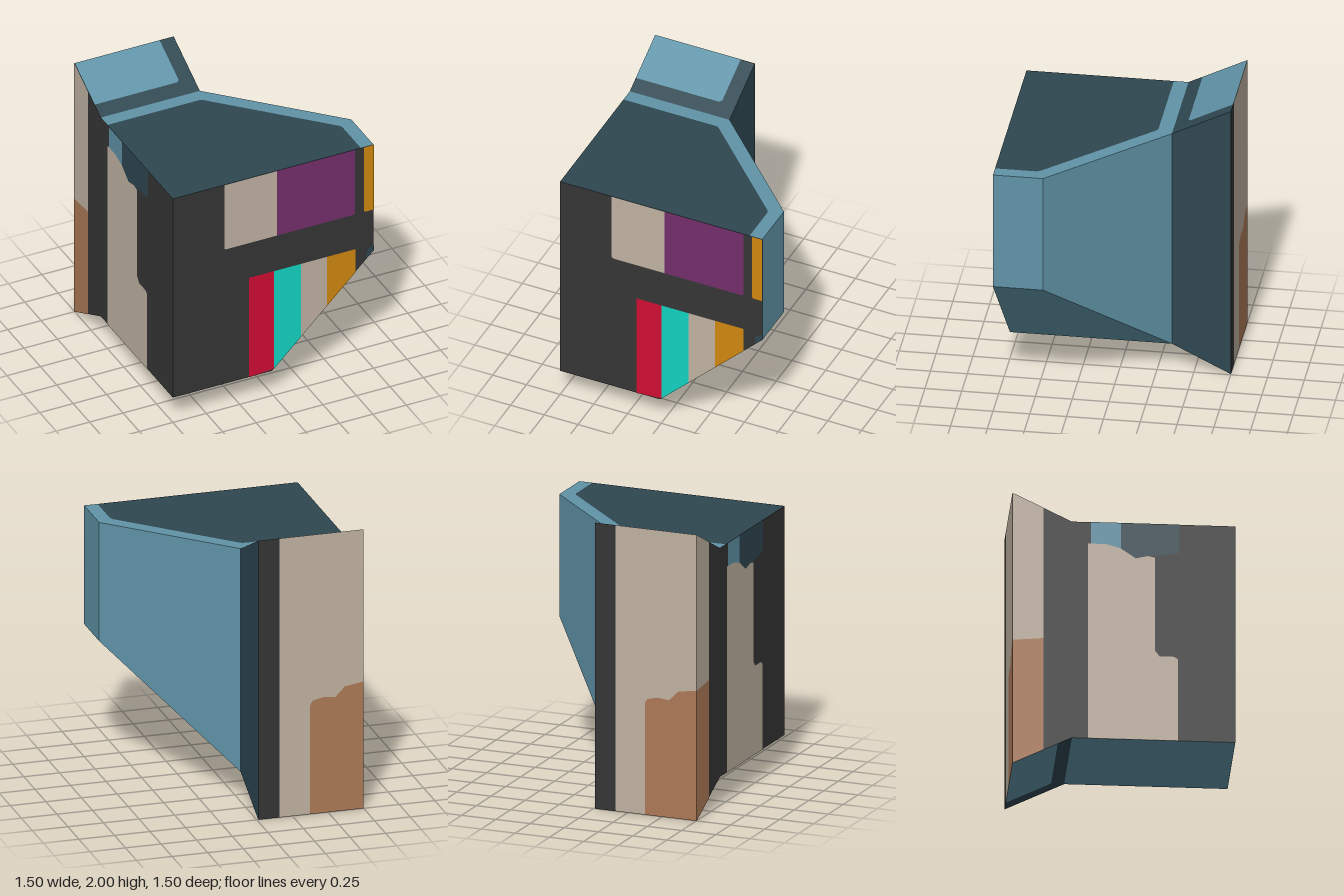
import * as THREE from 'three';

const flat = (name, color) => {
  const m = new THREE.MeshStandardMaterial({ color });
  m.name = name;
  return m;
};

export function createModel() {
  const model = new THREE.Group();
  model.name = 'wallBlock';

  const light = flat('lightTeal', 0x6093a7);
  const dark = flat('darkTeal', 0x2e4751);
  const charcoal = flat('charcoal', 0x353535);
  const beige = flat('beige', 0xbfb2a1);
  const purple = flat('purple', 0x752f6b);
  const orange = flat('orange', 0xd1870f);
  const red = flat('red', 0xd00d33);
  const cyan = flat('cyan', 0x12d4c1);
  const brown = flat('brown', 0xad7a57);

  const inside = new THREE.Vector3(-0.3, 1, 0);

  // Flat polygon facing outwards; lift raises painted details off the surface
  function panel(name, material, points, lift = 0) {
    let pts = points.map((p) => new THREE.Vector3(...p));
    const normal = new THREE.Vector3();
    const centre = new THREE.Vector3();
    pts.forEach((p, i) => {
      normal.add(p.clone().cross(pts[(i + 1) % pts.length]));
      centre.addScaledVector(p, 1 / pts.length);
    });
    normal.normalize();
    if (normal.dot(centre.sub(inside)) < 0) {
      normal.negate();
      pts = pts.reverse();
    }
    const u = pts[1].clone().sub(pts[0]).normalize();
    const v = normal.clone().cross(u);
    const contour = pts.map((p) => new THREE.Vector2(p.dot(u), p.dot(v)));
    const triangles = THREE.ShapeUtils.triangulateShape(contour, []);
    pts.forEach((p) => p.addScaledVector(normal, lift));
    const geometry = new THREE.BufferGeometry().setFromPoints(pts);
    geometry.setIndex(triangles.flat());
    geometry.computeVertexNormals();
    const mesh = new THREE.Mesh(geometry, material);
    mesh.name = name;
    model.add(mesh);
  }

  // Drawing planes for the vertical sides and the level ones
  const onFront = (pts) => pts.map(([x, y]) => [x, y, 0.75]);
  const onBack = (pts) => pts.map(([x, y]) => [x, y, -0.75]);
  const onRear = (pts) => pts.map(([z, y]) => [-0.75, y, z]);
  const level = (y, pts) => pts.map(([x, z]) => [x, y, z]);
  const rect = (a0, a1, b0, b1) => [[a0, b0], [a1, b0], [a1, b1], [a0, b1]];
  const PAINT = 0.003;

  // Main block
  panel('frontFace', charcoal, onFront([[-0.75, 0.2], [-0.01, 0.2], [0.75, 0.95], [0.75, 1.8], [-0.75, 1.8]]));
  panel('flatSide', charcoal, onRear([[-0.75, 0], [-0.35, 0.2], [0.75, 0.2], [0.75, 1.8], [-0.35, 1.8], [-0.75, 2]]));
  panel('shortSide', light, [[0.75, 0.95, 0.75], [0.75, 0.95, 0.41], [0.75, 1.8, 0.41], [0.75, 1.8, 0.75]]);
  panel('diagonalSide', light, [[-0.01, 0.2, -0.35], [0.75, 0.95, 0.41], [0.75, 1.8, 0.41], [-0.01, 1.8, -0.35]]);
  panel('lowerBevel', light, [[-0.01, 0.2, -0.35], [-0.01, 0.2, 0.75], [0.75, 0.95, 0.75], [0.75, 0.95, 0.41]]);
  panel('underside', light, level(0.2, rect(-0.75, -0.01, -0.35, 0.75)));

  // Top with a light border along the back and the diagonal
  panel('topCentre', dark, level(1.8, [[-0.75, -0.25], [-0.06, -0.25], [-0.04, -0.24], [0.645, 0.445],
    [0.655, 0.47], [0.655, 0.75], [-0.75, 0.75]]));
  panel('topBorder', light, level(1.8, [[-0.75, -0.35], [-0.01, -0.35], [0.75, 0.41], [0.75, 0.75], [0.655, 0.75],
    [0.655, 0.47], [0.645, 0.445], [-0.04, -0.24], [-0.06, -0.25], [-0.75, -0.25]]));

  // Flared flange at the back, mirrored above and below
  for (const s of [1, -1]) {
    const slope = (pts) => pts.map(([x, z]) => [x, 1 + s * (0.8 + (-0.35 - z) * 0.5), z]);
    const end = s > 0 ? 'upper' : 'lower';
    panel(end + 'FlangePanel', light, slope([[-0.75, -0.75], [-0.115, -0.75], [-0.115, -0.46],
      [-0.13, -0.445], [-0.75, -0.445]]));
    panel(end + 'FlangeBorder', dark, slope([[-0.115, -0.75], [-0.01, -0.75], [-0.01, -0.35], [-0.75, -0.35],
      [-0.75, -0.445], [-0.13, -0.445], [-0.115, -0.46]]));
  }
  panel('flangeSide', dark, [[-0.01, 0.2, -0.35], [-0.01, 0, -0.75], [-0.01, 2, -0.75], [-0.01, 1.8, -0.35]]);

  // Back: charcoal strip, beige field and brown patch
  const rust = [[-0.375, 0], [-0.375, 0.78], [-0.39, 0.81], [-0.47, 0.83], [-0.55, 0.82],
    [-0.62, 0.89], [-0.69, 0.9], [-0.75, 0.91]];
  panel('backStrip', charcoal, onBack(rect(-0.158, -0.01, 0, 2)));
  panel('backField', beige, onBack([[-0.158, 0], ...rust, [-0.75, 2], [-0.158, 2]]));
  panel('backPatch', brown, onBack([...rust, [-0.75, 0]]));

  // Front paint, upper row
  panel('upperBeigeBlock', beige, onFront([[-0.355, 1.28], [0.025, 1.28], [0.025, 1.8], [-0.367, 1.8], [-0.367, 1.29]]), PAINT);
  panel('upperPurpleBlock', purple, onFront([[0.025, 1.28], [0.6, 1.28], [0.61, 1.29], [0.61, 1.8], [0.025, 1.8]]), PAINT);
  panel('upperOrangeStripe', orange, onFront([[0.685, 1.28], [0.75, 1.28], [0.75, 1.8], [0.675, 1.8], [0.675, 1.29]]), PAINT);

  // Front paint, lower stripes cut off by the bevel
  const bevelY = (x) => Math.max(0.2, 0.2 + (x + 0.01) * 0.987);
  [[red, 'red', -0.183, 0.005], [cyan, 'cyan', 0.005, 0.205], [beige, 'beige', 0.205, 0.4], [orange, 'orange', 0.4, 0.612]]
    .forEach(([mat, name, a, b]) =>
      panel(name + 'Stripe', mat, onFront([[a, bevelY(a)], [b, bevelY(b)], [b, 1], [a, 1]]), PAINT));
  panel('cornerMark', dark, onFront([[0.695, 0.9], [0.75, 0.95], [0.75, 0.99], [0.71, 0.975], [0.695, 0.95]]), PAINT);

  // Paint on the flat side
  panel('sideEdgeBeige', beige, onRear([[-0.75, 0.91], [-0.54, 0.93], [-0.54, 1.895], [-0.75, 2]]), PAINT);
  panel('sideEdgeBrown', brown, onRear([[-0.75, 0], [-0.54, 0.105], [-0.54, 0.93], [-0.75, 0.91]]), PAINT);
  panel('sideBeige', beige, onRear([[-0.24, 0.2], [0.365, 0.2], [0.365, 0.8], [0.34, 0.82], [0.24, 0.82], [0.21, 0.86],
    [0.21, 1.55], [0.16, 1.56], [0.08, 1.54], [-0.02, 1.61], [-0.12, 1.64], [-0.24, 1.64]]), PAINT);
  panel('sideLightMark', light, onRear([[-0.22, 1.64], [-0.12, 1.64], [-0.02, 1.61], [-0.02, 1.8], [-0.22, 1.8]]), PAINT);
  panel('sideDarkMark', dark, onRear([[-0.02, 1.61], [0.08, 1.54], [0.16, 1.56], [0.21, 1.56], [0.375, 1.59], [0.375, 1.8], [-0.02, 1.8]]), PAINT);

  return model;
}
